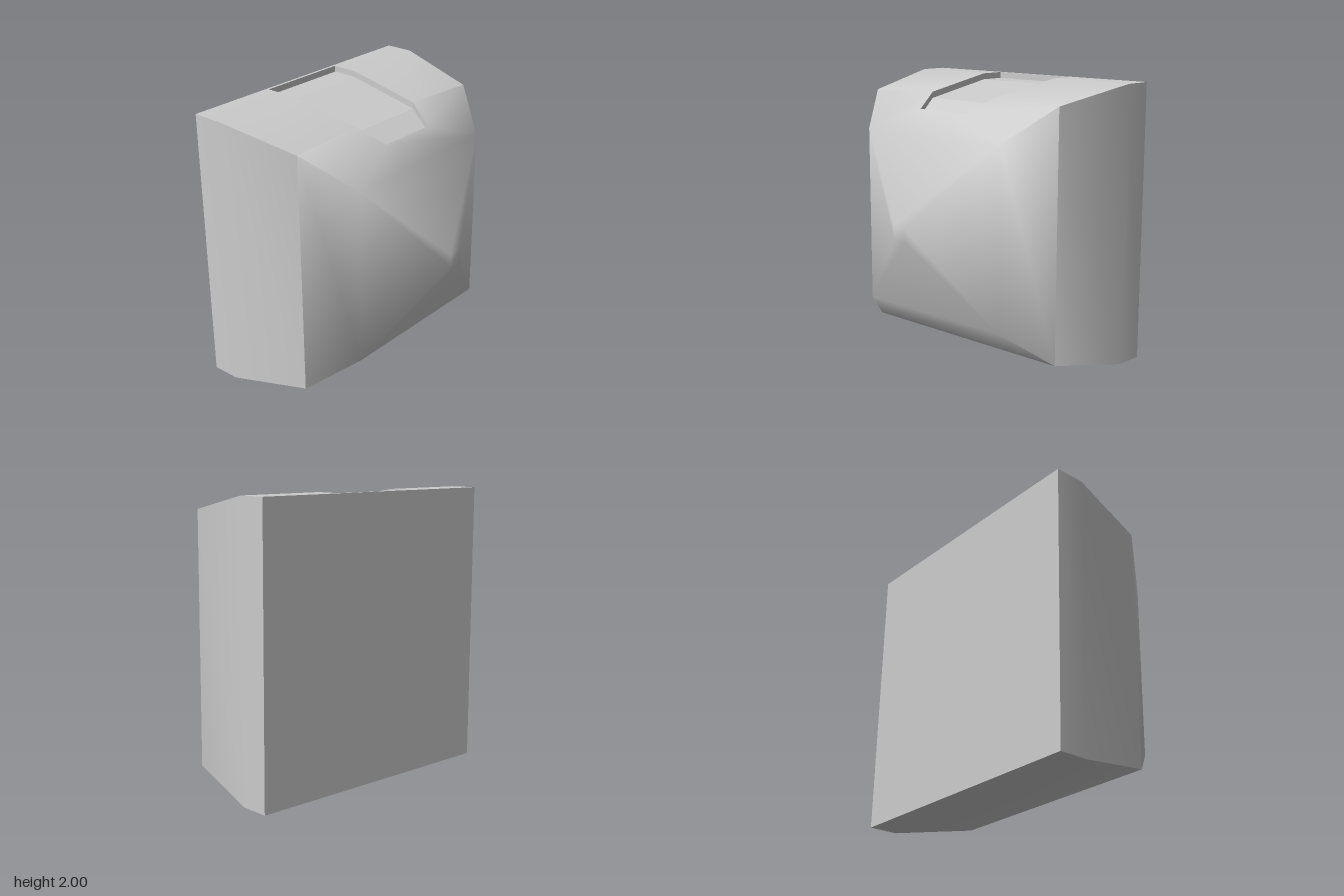
import * as THREE from 'three';
import { toCreasedNormals } from 'three/addons/utils/BufferGeometryUtils.js';

// Collects quads (corners counter-clockwise from outside) into one mesh
function quadMesh(name, quads, crease) {
  const pos = [];
  for (const [a, b, c, d] of quads) for (const p of [a, b, c, a, c, d]) pos.push(...p);
  const geo = new THREE.BufferGeometry();
  geo.setAttribute('position', new THREE.Float32BufferAttribute(pos, 3));
  const mesh = new THREE.Mesh(
    toCreasedNormals(geo, crease),
    new THREE.MeshStandardMaterial({ color: 0xcccccc })
  );
  mesh.name = name;
  return mesh;
}

const mirror = ([x, y, z]) => [-x, y, z];

export function createModel() {
  const group = new THREE.Group();
  group.name = 'model';

  // Square rings from the flat back to the nose: [z, half width]
  const rings = [[-0.71, 1], [-0.5, 1], [0.1, 0.885], [0.405, 0.64], [0.71, 0.05]].map(
    ([z, h]) => [[-1, -1], [1, -1], [1, 1], [-1, 1]].map(([x, y]) => [x * h, 1 + y * h, z])
  );

  // Rim of the recess in the top, left half from back to front
  const rim = [[0.345, 2, -0.69], [0.345, 2, -0.5], [0.308, 1.902, 0.08], [0.225, 1.8, 0.28]];
  const rimR = rim.map(mirror);

  const body = [];
  for (let i = 0; i < 4; i++) {
    for (let k = 0; k < 4; k++) {
      if (k === 2 && i < 3) continue; // the top is built around the recess
      const n = (k + 1) % 4;
      body.push([rings[i][k], rings[i][n], rings[i + 1][n], rings[i + 1][k]]);
    }
  }
  // Top strips on both sides of the recess, then behind and in front of it
  for (let i = 0; i < 3; i++) {
    const strip = [rings[i][2], rim[i], rim[i + 1], rings[i + 1][2]];
    body.push(strip, strip.map(mirror).reverse());
  }
  body.push([rings[0][3], rimR[0], rim[0], rings[0][2]]);
  body.push([rimR[3], rings[3][3], rings[3][2], rim[3]]);
  // Flat back and nose tip
  body.push([...rings[0]].reverse(), rings[4]);
  group.add(quadMesh('body', body, 1.3));

  // Shallow recess: walls around the rim and a floor that follows it
  const lower = ([x, y, z]) => [x, y - 0.045, z];
  const loop = [...rim, ...[...rimR].reverse()];
  const walls = loop.map((p, i) => {
    const q = loop[(i + 1) % loop.length];
    return [p, lower(p), lower(q), q];
  });
  group.add(quadMesh('recessWalls', walls, 0.3));
  const floor = [0, 1, 2].map((i) => [rimR[i], rimR[i + 1], rim[i + 1], rim[i]].map(lower));
  group.add(quadMesh('recessFloor', floor, 0.1));

  return group;
}
